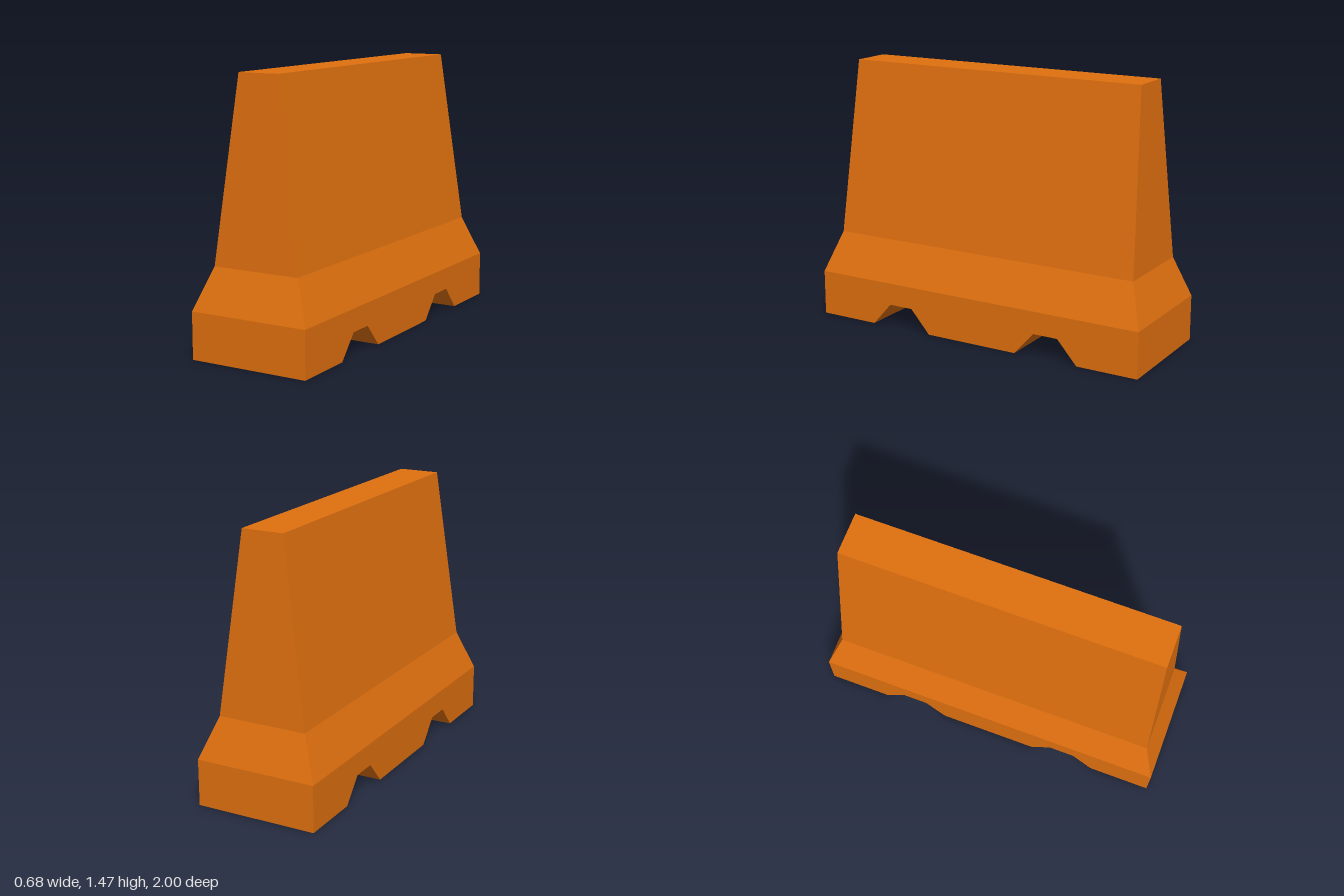
import * as THREE from 'three';

const BASE_HEIGHT = 0.255;
const HALF_WIDTH = 0.34;

// Rectangular rings (half width, height, half length) joined by flat sides
function taperedBlock(rings) {
  const pos = [];
  const corners = rings.map(([x, y, z]) => [[x, y, z], [x, y, -z], [-x, y, -z], [-x, y, z]]);
  const quad = (a, b, c, d) => pos.push(...a, ...b, ...c, ...a, ...c, ...d);
  for (let r = 0; r < corners.length - 1; r++) {
    const lo = corners[r], hi = corners[r + 1];
    for (let i = 0; i < 4; i++) {
      const j = (i + 1) % 4;
      quad(lo[i], lo[j], hi[j], hi[i]);
    }
  }
  quad(...corners[corners.length - 1]); // top cap
  const geo = new THREE.BufferGeometry();
  geo.setAttribute('position', new THREE.Float32BufferAttribute(pos, 3));
  geo.computeVertexNormals();
  return geo;
}

// Base side outline with two trapezoid forklift slots, extruded across the width
function footGeometry() {
  const shape = new THREE.Shape();
  shape.moveTo(-1, 0);
  for (const c of [-0.463, 0.463]) {
    const inner = 0.072, outer = 0.187;
    shape.lineTo(c - outer, 0);
    shape.lineTo(c - inner, 0.13);
    shape.lineTo(c + inner, 0.13);
    shape.lineTo(c + outer, 0);
  }
  shape.lineTo(1, 0);
  shape.lineTo(1, BASE_HEIGHT);
  shape.lineTo(-1, BASE_HEIGHT);
  shape.closePath();
  const geo = new THREE.ExtrudeGeometry(shape, { depth: HALF_WIDTH * 2, bevelEnabled: false });
  geo.translate(0, 0, -HALF_WIDTH);
  geo.rotateY(-Math.PI / 2);
  return geo;
}

export function createModel() {
  const group = new THREE.Group();
  group.name = 'roadBarrier';
  const orange = new THREE.MeshStandardMaterial({ color: 0xe0700f, flatShading: true });
  orange.name = 'orange';

  const foot = new THREE.Mesh(footGeometry(), orange);
  foot.name = 'slottedFoot';

  // Sloped shoulder and tall tapering wall
  const wall = new THREE.Mesh(taperedBlock([
    [HALF_WIDTH, BASE_HEIGHT, 1],
    [0.25, 0.485, 0.922],
    [0.117, 1.47, 0.877],
  ]), orange);
  wall.name = 'taperedWall';

  group.add(foot, wall);
  return group;
}
